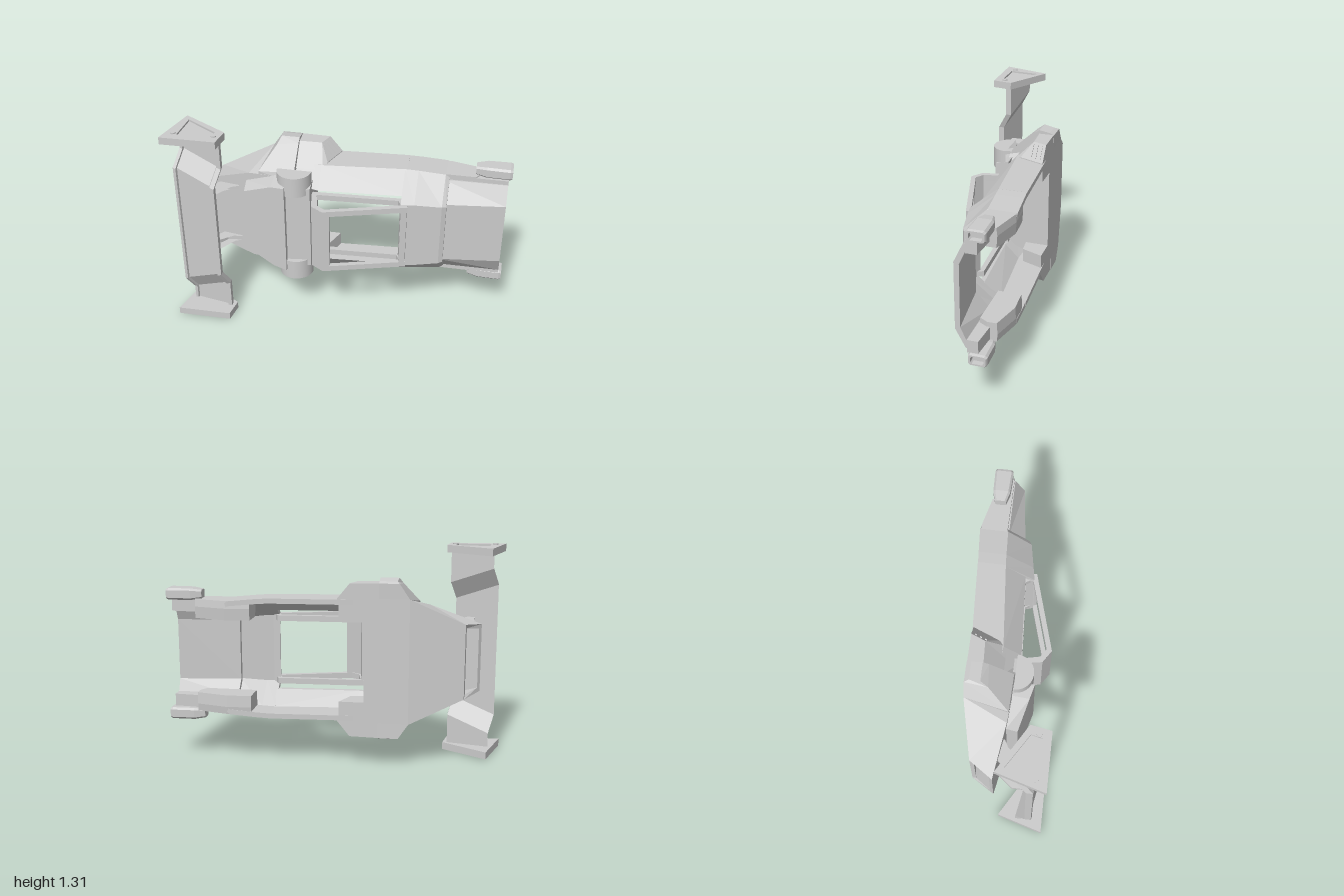
import * as THREE from 'three';

const MID = 0.655; // centre line; v below is the sideways distance from it
const mat = new THREE.MeshStandardMaterial({ color: 0xcccccc, flatShading: true, side: THREE.DoubleSide });
const smoothMat = new THREE.MeshStandardMaterial({ color: 0xcccccc, side: THREE.DoubleSide });

export function createModel() {
  const root = new THREE.Group();

  const add = (name, geo, material = mat) => {
    const m = new THREE.Mesh(geo, material);
    m.name = name;
    root.add(m);
    return m;
  };

  // Skin rings of [x, v, z] points, cap both ends, turn faces outwards
  const loft = (name, rings, s = 1) => {
    const n = rings[0].length, tris = [];
    const quad = (a, b, c, d) => tris.push([a, b, c], [a, c, d]);
    for (let r = 0; r < rings.length - 1; r++) {
      for (let i = 0; i < n; i++) {
        const j = (i + 1) % n;
        quad(rings[r][i], rings[r][j], rings[r + 1][j], rings[r + 1][i]);
      }
    }
    const first = rings[0], last = rings[rings.length - 1];
    for (let i = 0; i < Math.floor((n - 1) / 2); i++) {
      quad(first[n - 1 - i], first[n - 2 - i], first[i + 1], first[i]);
      quad(last[i], last[i + 1], last[n - 2 - i], last[n - 1 - i]);
    }
    const V = p => new THREE.Vector3(p[0], p[1] * s, p[2]);
    let volume = 0;
    const faces = tris.map(t => t.map(V));
    faces.forEach(([a, b, c]) => { volume += a.dot(b.clone().cross(c)); });
    const pos = [];
    faces.forEach(([a, b, c]) => (volume < 0 ? [a, c, b] : [a, b, c])
      .forEach(p => pos.push(p.x, p.y + MID, p.z)));
    const g = new THREE.BufferGeometry();
    g.setAttribute('position', new THREE.Float32BufferAttribute(pos, 3));
    g.computeVertexNormals();
    return add(name, g);
  };

  // Side outline (x, z) extruded across the width from v0 to v1
  const prism = (name, pts, v0, v1, s = 1, hole) => {
    const shape = new THREE.Shape(pts.map(p => new THREE.Vector2(...p)));
    if (hole) shape.holes.push(new THREE.Path(hole.map(p => new THREE.Vector2(...p))));
    const g = new THREE.ExtrudeGeometry(shape, { depth: v1 - v0, bevelEnabled: false });
    g.rotateX(Math.PI / 2);
    g.translate(0, MID + (s > 0 ? v1 : -v0), 0);
    return add(name, g);
  };

  // Full-width panel: flat top, slanted shoulders, upright sides, with thickness
  const arch = (x, vt, zt, vs, zs, zb, t = 0.03) => {
    const outer = [[x, vs, zb], [x, vs, zs], [x, vt, zt]];
    const inner = [[x, vs - t, zb], [x, vs - t, zs - t * 0.4], [x, vt - t * 0.4, zt - t]];
    const mirror = a => a.map(([px, v, z]) => [px, -v, z]);
    return [...outer, ...mirror(outer).reverse(), ...mirror(inner), ...inner.reverse()];
  };

  // Hood and nose panels
  loft('hood', [
    arch(0.37, 0.22, 0.075, 0.365, -0.1, -0.265),
    arch(0.45, 0.22, 0.06, 0.36, -0.105, -0.272),
    arch(0.61, 0.205, 0.03, 0.345, -0.115, -0.285),
    arch(0.635, 0.2, 0.015, 0.325, -0.12, -0.28)]);
  loft('nose', [
    arch(0.6, 0.2, -0.008, 0.312, -0.11, -0.14),
    arch(0.98, 0.2, -0.055, 0.312, -0.115, -0.14)]);

  // Tapered rear body with a deep opening at its tail
  const box = (xb, zb, vb, xt, zt, vt) => [[xb, vb, zb], [xt, vt, zt], [xt, -vt, zt], [xb, -vb, zb]];
  loft('rearBody', [
    box(-0.48, -0.2, 0.31, -0.55, -0.005, 0.27),
    box(-0.785, -0.14, 0.2, -0.855, -0.045, 0.18),
    box(-0.78, -0.165, 0.225, -0.87, -0.025, 0.205),
    box(-0.46, -0.235, 0.375, -0.56, 0.022, 0.305),
    box(-0.28, -0.235, 0.375, -0.28, 0.045, 0.31),
    box(-0.195, -0.235, 0.36, -0.2, 0.045, 0.26)]);

  // Engine deck with slanted flanks
  const deck = (x, z, vt, vb) => [[x, vb, 0.02], [x, vt, z], [x, -vt, z], [x, -vb, 0.02]];
  loft('engineDeck', [
    deck(-0.58, 0.085, 0.21, 0.25), deck(-0.4, 0.133, 0.29, 0.315), deck(-0.315, 0.154, 0.3, 0.315)]);
  loft('deckFront', [deck(-0.34, 0.12, 0.28, 0.3), deck(-0.17, 0.1, 0.28, 0.3)]);

  // Roof band behind the cockpit and windscreen base bar
  prism('roofBand', [[-0.175, 0.02], [-0.145, 0.18], [-0.07, 0.228], [-0.03, 0.216],
    [-0.03, 0.196], [-0.068, 0.205], [-0.125, 0.168], [-0.15, 0.02]], -0.215, 0.215);
  prism('windscreenBar', [[0.36, 0.02], [0.375, 0.095], [0.41, 0.085], [0.41, 0.04]], -0.215, 0.215);

  for (const s of [1, -1]) {
    // Cockpit side with slanted shoulder
    const wall = (x, vt, zt, vs, zs, zb, t = 0.03) => [
      [x, vs, zb], [x, vs, zs], [x, vt, zt],
      [x, vt, zt - t], [x, vs - t, zs - t * 0.4], [x, vs - t, zb]];
    loft('cockpitSide', [
      wall(-0.28, 0.26, 0.03, 0.36, -0.06, -0.235),
      wall(-0.13, 0.25, 0.055, 0.365, -0.05, -0.235),
      wall(0.38, 0.25, 0.02, 0.365, -0.1, -0.267)], s);

    // Lower arm joining the rear body to the side
    prism('sillArm', [[-0.29, -0.235], [-0.045, -0.235], [-0.1, -0.1], [-0.29, -0.08]], 0.25, 0.36, s);

    // Side window frame
    prism('windowFrame',
      [[-0.165, 0.02], [-0.14, 0.18], [-0.07, 0.228], [0.415, 0.085], [0.37, -0.005]], 0.181, 0.216, s,
      [[-0.138, 0.05], [-0.113, 0.163], [-0.063, 0.196], [0.375, 0.066], [0.35, 0.024]]);

    // Rear fender
    loft('rearFender', [
      [[-0.45, 0.28, -0.233], [-0.28, 0.28, -0.235], [-0.28, 0.28, 0.045], [-0.5, 0.28, 0.025]],
      [[-0.46, 0.375, -0.235], [-0.28, 0.375, -0.235], [-0.28, 0.34, 0.03], [-0.5, 0.325, 0.025]],
      [[-0.4, 0.465, -0.237], [-0.28, 0.465, -0.237], [-0.28, 0.465, -0.11], [-0.41, 0.45, -0.1]],
      [[-0.385, 0.475, -0.21], [-0.28, 0.475, -0.21], [-0.28, 0.487, -0.145], [-0.39, 0.487, -0.145]]], s);

    // Side scoop leaning back, with slats across its slanted front
    const lean = (x, v, z) => [x - (z + 0.235) * 0.4, v, z];
    const scoop = (x, v, z) => [lean(x, 0.34, -0.235), lean(x, v, -0.235), lean(x, v, z), lean(x, 0.34, -0.03)];
    loft('sideScoop', [scoop(-0.295, 0.465, -0.14), scoop(-0.11, 0.462, -0.15), scoop(-0.035, 0.37, -0.08)], s);
    for (let i = 0; i < 3; i++) {
      const z = -0.215 + i * 0.03;
      loft('scoopSlat', [z, z + 0.012].map(h => [
        lean(-0.115, 0.445, h), lean(-0.095, 0.453, h), lean(-0.04, 0.386, h), lean(-0.06, 0.378, h)]), s);
    }

    // Half-round intake drum lying across the deck
    const drum = add('intakeDrum',
      new THREE.CylinderGeometry(0.105, 0.105, 0.13, 24, 1, false, -Math.PI / 2, Math.PI), smoothMat);
    drum.position.set(-0.275, MID + s * 0.302, 0.038);

    // Front fender block and arm out to the lamp
    const fender = (v, low, lift) => [[0.48, v, low + 0.01], [0.63, v, low], [0.82, v, low + 0.045],
      [0.82, v, -0.17 + lift], [0.79, v, -0.12 + lift], [0.48, v, -0.12 + lift]];
    loft('frontFender', [fender(0.23, -0.28, -0.01), fender(0.3, -0.285, 0), fender(0.345, -0.28, 0)], s);
    prism('lampArm', [[0.77, -0.2], [0.98, -0.185], [0.98, -0.12], [0.77, -0.12]], 0.26, 0.338, s);

    // Lamp pod with a recessed front
    const pod = (x, hv, hz, c) => [[-1, -1, 0, 1], [-1, -1, 1, 0], [1, -1, 1, 0], [1, -1, 0, 1],
      [1, 1, 0, 1], [1, 1, 1, 0], [-1, 1, 1, 0], [-1, 1, 0, 1]].map(([a, b, cv, cz]) =>
      [x, 0.37 + a * (hv - c * cv), -0.183 + b * (hz - c * cz)]);
    loft('lampPod', [pod(0.785, 0.026, 0.034, 0.01), pod(0.85, 0.035, 0.052, 0.012), pod(0.985, 0.035, 0.056, 0.012),
      pod(1, 0.03, 0.05, 0.01), pod(1, 0.021, 0.038, 0.008), pod(0.965, 0.021, 0.038, 0.008)], s);

    // Wing end plate with raised rim and two bolts
    const plate = [[-0.92, 0.002], [-0.648, 0.16], [-0.668, 0.28], [-1, 0.285]];
    prism('endPlate', plate, 0.603, 0.637, s);
    prism('endPlateRim', plate, 0.637, 0.648, s, [[-0.895, 0.05], [-0.7, 0.17], [-0.715, 0.235], [-0.91, 0.235]]);
    for (const [x, z] of [[-0.935, 0.22], [-0.695, 0.215]]) {
      const bolt = add('plateBolt', new THREE.CylinderGeometry(0.016, 0.016, 0.03, 12));
      bolt.position.set(x, MID + s * 0.64, z);
    }

    // Strut from the rear body up to the wing
    loft('wingStrut', [0.175, 0.202].map(v => [
      [-0.63, v, 0.02], [-0.64, v, -0.01], [-0.75, v, -0.015], [-0.825, v, 0.08],
      [-0.825, v, 0.205], [-0.78, v, 0.205], [-0.765, v, 0.09], [-0.72, v, 0.03]]), s);
  }

  // Wing: pitched blade with raised lips, its centre span higher than its ends;
  // k moves the bends outwards towards the trailing edge
  const blade = [[-0.93, 0.115, 1], [-0.93, 0.155, 1], [-0.912, 0.16, 0.95], [-0.907, 0.146, 0.95],
    [-0.705, 0.182, 0.1], [-0.7, 0.198, 0.1], [-0.675, 0.2, 0], [-0.675, 0.166, 0]];
  const section = (v, lift, skew) => blade.map(([x, z, k]) =>
    [x - lift * 0.55, v + Math.sign(v) * k * skew, z + lift]);
  loft('wing', [section(-0.61, 0, 0), section(-0.42, 0, 0.095), section(-0.315, 0.06, 0.095),
    section(0.315, 0.06, 0.095), section(0.42, 0, 0.095), section(0.61, 0, 0)]);

  return root;
}
